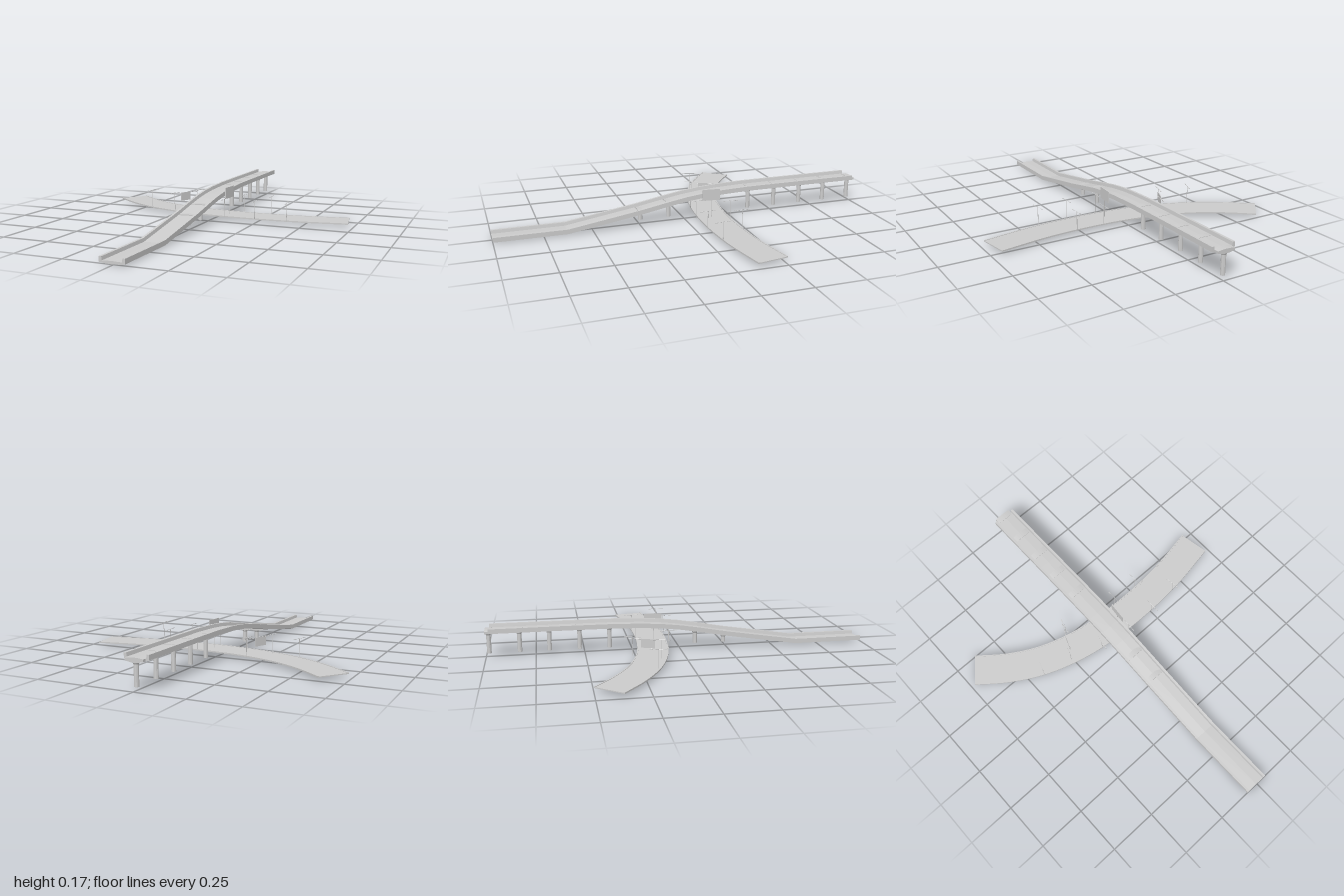
import * as THREE from 'three';

const V = (x, y, z) => new THREE.Vector3(x, y, z);
const grey = new THREE.MeshStandardMaterial({ color: 0xcccccc, flatShading: true, side: THREE.DoubleSide });

function add(parent, geometry, name) {
  const mesh = new THREE.Mesh(geometry, grey);
  mesh.name = name;
  parent.add(mesh);
  return mesh;
}

// Sweep a closed counter-clockwise [right, up] section along a path, keeping it upright
function sweep(section, path) {
  const rows = path.map((p, i) => {
    const t = path[Math.min(i + 1, path.length - 1)].clone().sub(path[Math.max(i - 1, 0)]).setY(0).normalize();
    const right = t.cross(V(0, 1, 0));
    return section.map(([u, v]) => p.clone().addScaledVector(right, u).add(V(0, v, 0)));
  });
  const pos = [];
  const tri = (...pts) => pts.forEach((p) => pos.push(p.x, p.y, p.z));
  const n = section.length;
  for (let i = 0; i < rows.length - 1; i++) {
    for (let j = 0; j < n; j++) {
      const k = (j + 1) % n;
      const a = rows[i][j], b = rows[i][k], c = rows[i + 1][k], d = rows[i + 1][j];
      tri(a, d, c);
      tri(a, c, b);
    }
  }
  const faces = THREE.ShapeUtils.triangulateShape(section.map(([u, v]) => new THREE.Vector2(u, v)), []);
  const first = rows[0], last = rows[rows.length - 1];
  for (const [a, b, c] of faces) {
    tri(first[a], first[b], first[c]);
    tri(last[a], last[c], last[b]);
  }
  const g = new THREE.BufferGeometry();
  g.setAttribute('position', new THREE.Float32BufferAttribute(pos, 3));
  g.computeVertexNormals();
  return g;
}

// Thin round bar between two points
function bar(parent, a, b, r, name) {
  const dir = b.clone().sub(a);
  const m = add(parent, new THREE.CylinderGeometry(r, r, dir.length(), 6), name);
  m.position.copy(a).add(b).multiplyScalar(0.5);
  m.quaternion.setFromUnitVectors(V(0, 1, 0), dir.normalize());
}

// Upright panel between two ground points
function panel(parent, [x0, z0], [x1, z1], y0, y1, name) {
  const m = add(parent, new THREE.BoxGeometry(Math.hypot(x1 - x0, z1 - z0), y1 - y0, 0.004), name);
  m.position.set((x0 + x1) / 2, (y0 + y1) / 2, (z0 + z1) / 2);
  m.rotation.y = Math.atan2(z0 - z1, x1 - x0);
}

const BRIDGE_X = -0.008;
// Bridge height along z
const RAMP = [[1, 0], [0.63, 0], [0.44, 0.03], [0.25, 0.06], [0.1, 0.088], [0, 0.105], [-0.1, 0.117],
  [-0.2, 0.124], [-0.35, 0.129], [-0.6, 0.13], [-0.98, 0.13]];

function rampHeight(z) {
  for (let i = 1; i < RAMP.length; i++) {
    const [za, ya] = RAMP[i - 1], [zb, yb] = RAMP[i];
    if (z >= zb) return ya + ((yb - ya) * (za - z)) / (za - zb);
  }
  return RAMP[RAMP.length - 1][1];
}

function pier(z) {
  const g = new THREE.Group();
  g.name = 'pier';
  const y = rampHeight(z), depth = 0.034;
  // Cap with a slightly crowned top and a tapered underside
  const s = new THREE.Shape();
  s.moveTo(-0.045, 0.013);
  s.lineTo(-0.045, 0.002);
  s.quadraticCurveTo(0, -0.012, 0.045, 0.002);
  s.lineTo(0.045, 0.013);
  s.quadraticCurveTo(0, 0.021, -0.045, 0.013);
  const cap = new THREE.ExtrudeGeometry(s, { depth, bevelEnabled: false, curveSegments: 8 });
  cap.translate(0, y, -depth / 2);
  add(g, cap, 'pierCap');
  // Column with a flared head
  const foot = 0.02, top = y + 0.002;
  const column = new THREE.LatheGeometry([[0, foot], [0.0115, foot], [0.0115, top - 0.016],
    [0.016, top - 0.008], [0.016, top], [0, top]].map(([r, h]) => new THREE.Vector2(r, h)), 10);
  add(g, column, 'pierColumn');
  g.position.set(BRIDGE_X, 0, z);
  return g;
}

export function createModel() {
  const model = new THREE.Group();
  model.name = 'overpass';

  // Bridge deck with a parapet on each side
  const deckSection = [[-0.062, 0.006], [-0.045, 0.003], [0, 0], [0.045, 0.003], [0.062, 0.006],
    [0.062, 0.03], [0.05, 0.03], [0.047, 0.013], [0, 0.015], [-0.047, 0.013], [-0.05, 0.03], [-0.062, 0.03]];
  add(model, sweep(deckSection, RAMP.map(([z, y]) => V(BRIDGE_X, y, z))), 'bridgeDeck');

  // Piers
  for (const z of [0.24, 0.085, -0.37, -0.525, -0.68, -0.83, -0.983]) model.add(pier(z));

  // Curved road passing underneath, with low kerbs
  const road = new THREE.CatmullRomCurve3([[-0.68, -0.435], [-0.54, -0.325], [-0.38, -0.235], [-0.2, -0.175],
    [-0.02, -0.145], [0.2, -0.134], [0.45, -0.147], [0.712, -0.19]].map(([x, z]) => V(x, 0.015, z)));
  const w = 0.081;
  add(model, sweep([[-w, 0], [w, 0], [w, 0.007], [w - 0.006, 0.007], [w - 0.006, 0.005],
    [0.006 - w, 0.005], [0.006 - w, 0.007], [-w, 0.007]], road.getSpacedPoints(32)), 'lowerRoad');

  // Street lamps along both road edges: x, z and the sideways lean of the arm
  const lamps = [[-0.42, -0.175, -0.35], [-0.26, -0.135, -0.3], [-0.18, -0.27, -0.25], [-0.095, -0.07, -0.15],
    [0.075, -0.045, -0.05], [0.125, -0.215, 0], [0.245, -0.045, 0.02], [0.28, -0.218, 0.03], [0.415, -0.06, 0.1]];
  for (const [x, z, lean] of lamps) {
    const lamp = new THREE.Group();
    lamp.name = 'streetLamp';
    bar(lamp, V(x, 0.018, z), V(x, 0.115, z), 0.0014, 'lampPost');
    const dx = Math.sin(lean) * 0.036, dz = Math.cos(lean) * 0.036;
    bar(lamp, V(x - dx, 0.116, z - dz), V(x + dx, 0.116, z + dz), 0.001, 'lampArm');
    for (const s of [-1, 1]) {
      const head = add(lamp, new THREE.BoxGeometry(0.004, 0.002, 0.014), 'lampHead');
      head.position.set(x + s * dx, 0.115, z + s * dz);
      head.rotation.y = lean;
    }
    model.add(lamp);
  }

  // Road signs either side of the bridge
  const signs = new THREE.Group();
  signs.name = 'roadSigns';
  bar(signs, V(-0.18, 0.11, -0.29), V(-0.24, 0.11, -0.16), 0.0015, 'signArm');
  panel(signs, [-0.236, -0.165], [-0.209, -0.23], 0.067, 0.113, 'hangingSign');
  panel(signs, [0.066, -0.082], [0.074, -0.175], 0.11, 0.17, 'bridgeSign');
  bar(signs, V(0.07, 0.018, -0.128), V(0.07, 0.12, -0.128), 0.0015, 'signPost');
  model.add(signs);

  return model;
}
